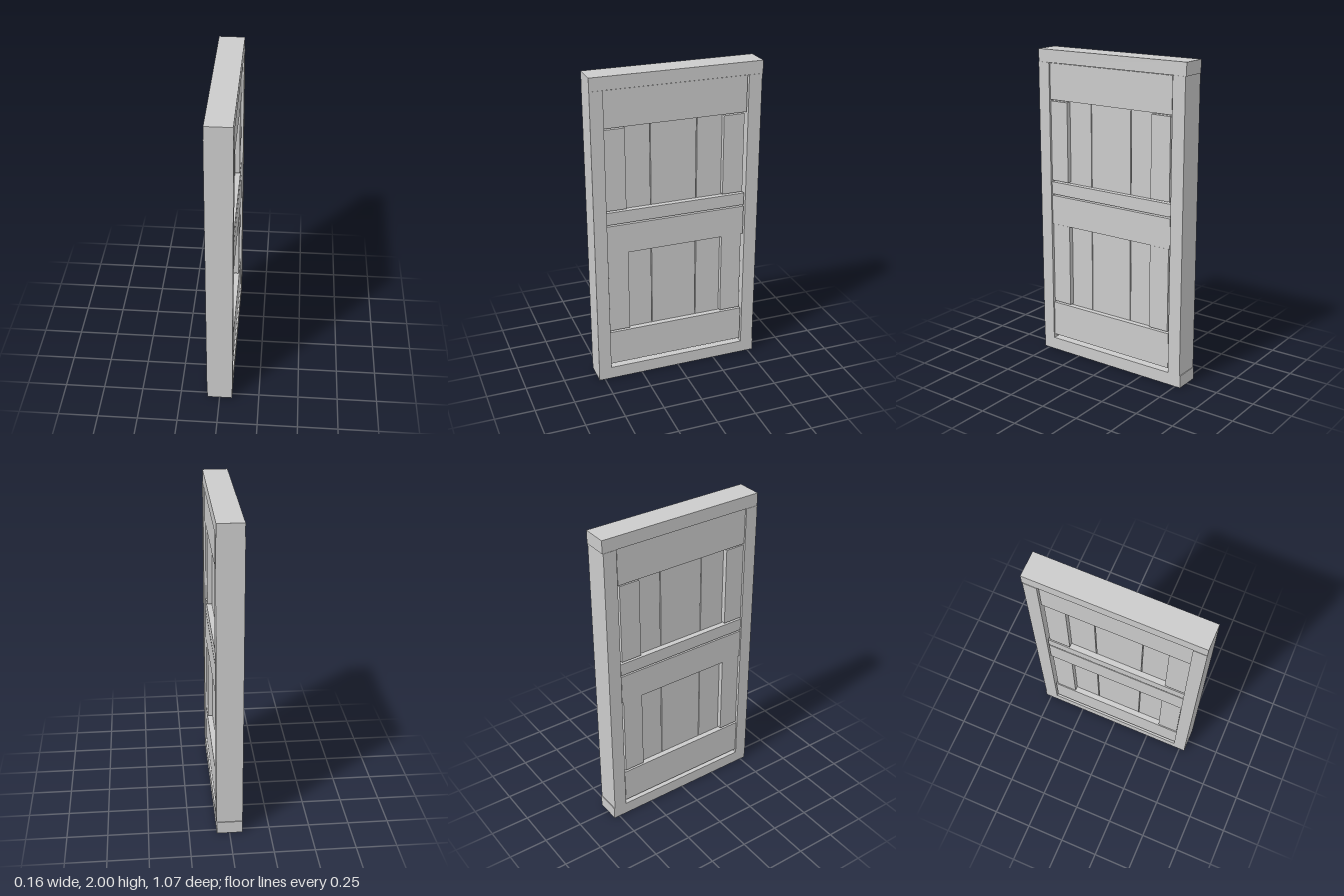
import * as THREE from 'three';

const material = new THREE.MeshStandardMaterial({ color: 0xcccccc });

// Box spanning the given ranges
function box(parent, name, [x0, x1], [y0, y1], [z0, z1]) {
  const mesh = new THREE.Mesh(new THREE.BoxGeometry(x1 - x0, y1 - y0, z1 - z0), material);
  mesh.position.set((x0 + x1) / 2, (y0 + y1) / 2, (z0 + z1) / 2);
  mesh.name = name;
  parent.add(mesh);
}

export function createModel() {
  const model = new THREE.Group();
  model.name = 'plankDoorInFrame';

  // Frame: header and sill with two jambs between them
  const frame = new THREE.Group();
  frame.name = 'doorFrame';
  model.add(frame);
  const beam = [-0.079, 0.079], post = [-0.081, 0.081];
  box(frame, 'header', beam, [1.92, 2], [-0.537, 0.537]);
  box(frame, 'sill', beam, [0, 0.08], [-0.537, 0.537]);
  box(frame, 'hingeJamb', post, [0.08, 1.92], [0.456, 0.537]);
  box(frame, 'latchJamb', post, [0.08, 1.92], [-0.532, -0.448]);

  const door = new THREE.Group();
  door.name = 'door';
  model.add(door);

  // Core planks, joined by thin splines that leave narrow seams
  const core = [-0.037, 0.037];
  for (const z of [[0.165, 0.455], [-0.13, 0.16], [-0.43, -0.136]]) {
    box(door, 'plank', core, [0.107, 1.915], z);
  }
  for (const z of [[0.16, 0.165], [-0.136, -0.13]]) {
    box(door, 'seamSpline', [-0.025, 0.025], [0.107, 1.915], z);
  }

  // Rails and stiles applied to both faces
  const rails = [[0.105, 0.335], [0.88, 1.07], [1.08, 1.16], [1.69, 1.917]];
  const stiles = [
    [[1.17, 1.68], [0.328, 0.455]],
    [[1.17, 1.68], [-0.43, -0.297]],
    [[0.345, 0.878], [0.322, 0.452]],
    [[0.345, 0.878], [-0.43, -0.297]],
  ];
  for (const side of [1, -1]) {
    const layer = (depth) => (side > 0 ? [0.037, depth] : [-depth, -0.037]);
    for (const y of rails) box(door, 'rail', layer(0.072), y, [-0.441, 0.455]);
    for (const [y, z] of stiles) box(door, 'stile', layer(0.068), y, z);
  }
  return model;
}
